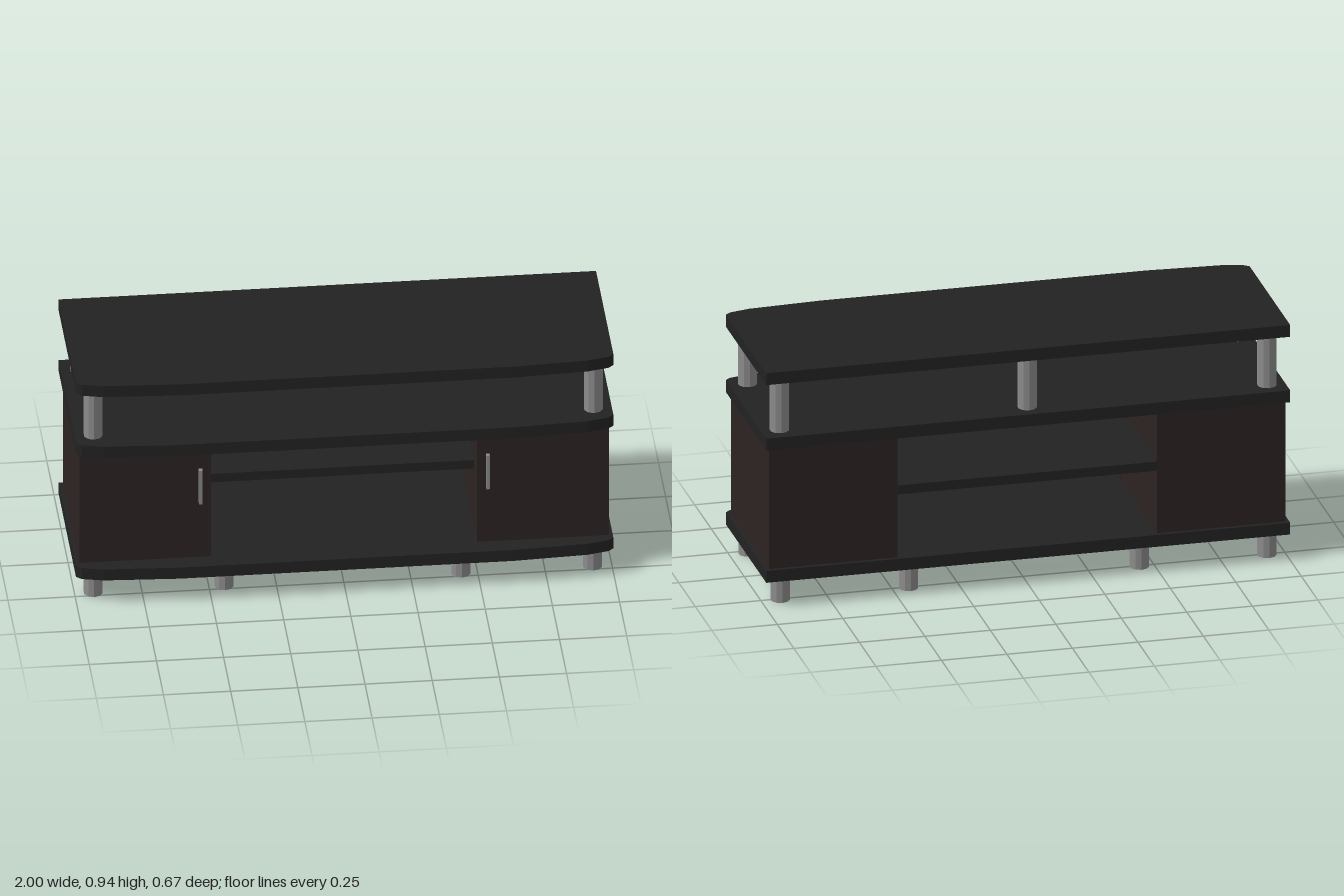
import * as THREE from 'three';

const material = (name, color, extra = {}) => new THREE.MeshStandardMaterial({ name, color, ...extra });

export function createModel() {
  const black = material('black board', 0x222222);
  const brown = material('dark brown wood', 0x2d2222);
  const metal = material('grey metal', 0x8c8c8c);
  metal.flatShading = true;

  const model = new THREE.Group();
  model.name = 'mediaConsole';

  const add = (name, geometry, mat, x, y, z) => {
    const mesh = new THREE.Mesh(geometry, mat);
    mesh.name = name;
    mesh.position.set(x, y, z);
    model.add(mesh);
    return mesh;
  };

  // Box given by its lower and upper limits on each axis
  const addBox = (name, mat, [x0, x1], [y0, y1], [z0, z1]) =>
    add(name, new THREE.BoxGeometry(x1 - x0, y1 - y0, z1 - z0), mat,
      (x0 + x1) / 2, (y0 + y1) / 2, (z0 + z1) / 2);

  // Upright round tube between two heights
  const addPost = (name, x, z, y0, y1) =>
    add(name, new THREE.CylinderGeometry(0.036, 0.036, y1 - y0, 10), metal, x, (y0 + y1) / 2, z);

  // Boards: straight back, softly bowed front with rounded corners
  const frontEdge = [[1, 0.28], [0.98, 0.298], [0.9, 0.317], [0.62, 0.333]];
  const outline = [[-1, -0.333], [1, -0.333], ...frontEdge,
    ...frontEdge.map(([x, z]) => [-x, z]).reverse()];
  const boardShape = new THREE.Shape(outline.map(([x, z]) => new THREE.Vector2(x, -z)));
  const boardGeometry = new THREE.ExtrudeGeometry(boardShape, { depth: 0.047, bevelEnabled: false });
  boardGeometry.rotateX(-Math.PI / 2);
  add('bottomBoard', boardGeometry, black, 0, 0.102, 0);
  add('middleBoard', boardGeometry, black, 0, 0.628, 0);
  add('topBoard', boardGeometry, black, 0, 0.888, 0);

  // Cabinets with doors and handles, mirrored
  for (const [side, s] of [['left', 1], ['right', -1]]) {
    const span = (a, b) => (s > 0 ? [a, b] : [-b, -a]);
    addBox(side + 'Cabinet', brown, span(0.495, 0.985), [0.149, 0.628], [-0.317, 0.221]);
    addBox(side + 'Door', brown, span(0.495, 0.985), [0.149, 0.628], [0.226, 0.26]);
    addBox(side + 'Handle', metal, span(0.528, 0.541), [0.382, 0.526], [0.26, 0.277]);
  }

  // Shelf between the cabinets, set back from the doors
  addBox('centreShelf', black, [-0.495, 0.495], [0.4, 0.436], [-0.321, 0.15]);

  // Feet in two rows, posts under the top at the corners and back centre
  for (const [row, z] of [['front', 0.225], ['back', -0.257]]) {
    for (const x of [-0.93, -0.443, 0.438, 0.928]) addPost(row + 'Foot', x, z, 0, 0.102);
    for (const x of [-0.93, 0.931]) addPost(row + 'Post', x, z, 0.675, 0.888);
  }
  addPost('backCentrePost', -0.015, -0.257, 0.675, 0.888);

  return model;
}
